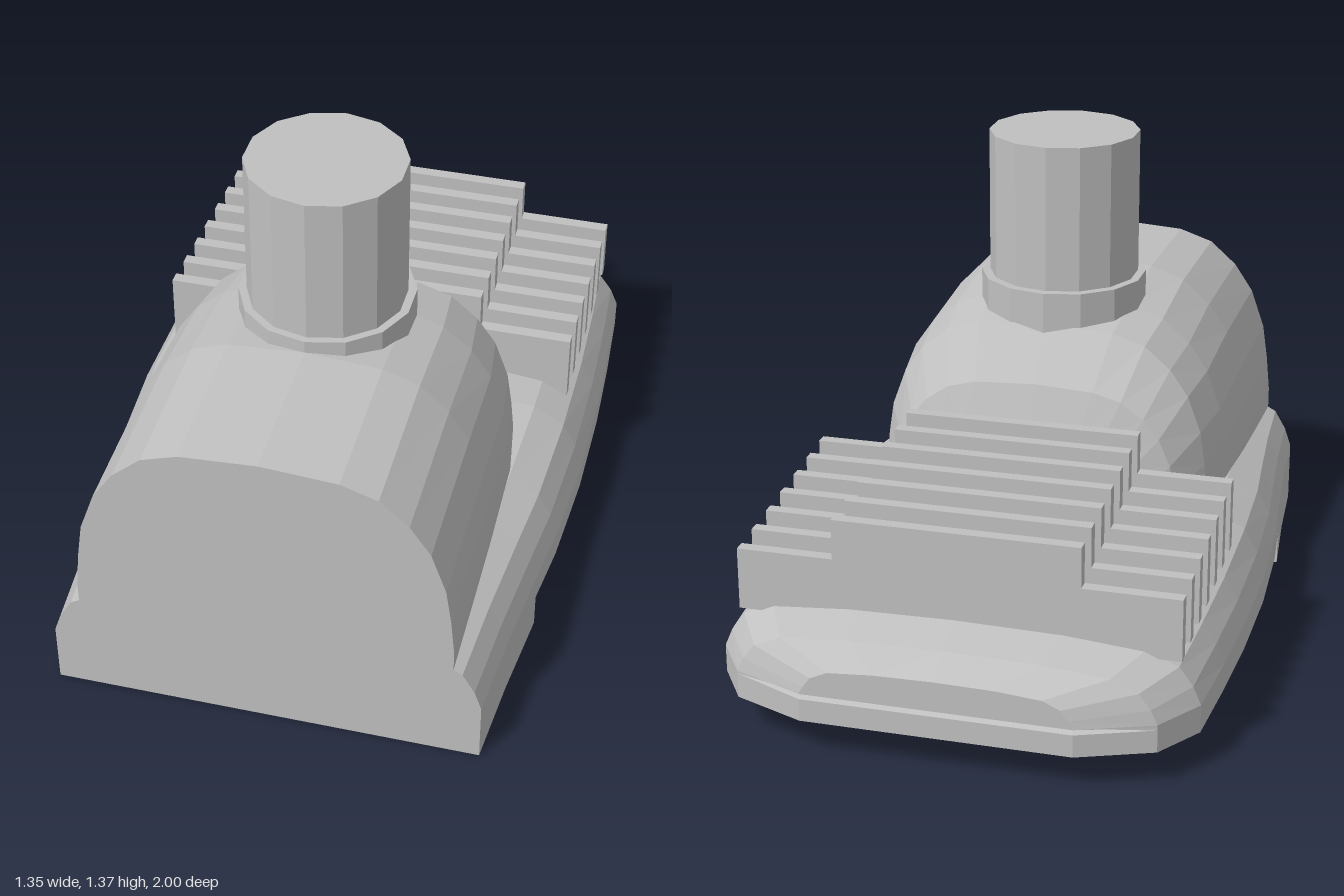
import * as THREE from 'three';

const grey = new THREE.MeshStandardMaterial({ color: 0xc0c0c0, flatShading: true });
grey.name = 'plain grey';

// Skin mirror-symmetric rings (ordered +x bottom, over the top, to -x bottom), front to back
function loft(rings) {
  const n = rings[0].length;
  const positions = rings.flat(2);
  const index = [];
  for (let i = 0; i < rings.length - 1; i++) {
    for (let j = 0; j < n; j++) {
      const k = (j + 1) % n;
      const a = i * n + j, b = i * n + k, c = a + n, d = b + n;
      index.push(a, c, b, b, c, d);
    }
  }
  // End caps: horizontal strips between mirrored ring points
  const last = (rings.length - 1) * n;
  for (let j = 0; j < (n - 1) / 2; j++) {
    const a = j, b = j + 1, c = n - 1 - j, d = n - 2 - j;
    index.push(a, b, d, a, d, c);
    index.push(last + a, last + d, last + b, last + a, last + c, last + d);
  }
  const g = new THREE.BufferGeometry();
  g.setAttribute('position', new THREE.Float32BufferAttribute(positions, 3));
  g.setIndex(index);
  const flat = g.toNonIndexed();
  flat.computeVertexNormals();
  return flat;
}

// Mirror a half ring whose last point lies on x = 0
const mirrored = half => [...half, ...half.slice(0, -1).reverse().map(([x, y, z]) => [-x, y, z])];

function add(group, name, geometry, x = 0, y = 0, z = 0) {
  const mesh = new THREE.Mesh(geometry, grey);
  mesh.name = name;
  mesh.position.set(x, y, z);
  group.add(mesh);
  return mesh;
}

// Base: [z, half width, bottom, top]
function baseGeometry() {
  const sections = [
    [1, 0.587, 0, 0.36], [0.75, 0.607, 0, 0.37], [0.485, 0.636, 0, 0.38],
    [0.485, 0.636, 0.1, 0.38], [0.3, 0.658, 0.1, 0.39], [0, 0.675, 0.1, 0.405],
    [-0.3, 0.675, 0.1, 0.388], [-0.55, 0.665, 0.1, 0.367], [-0.79, 0.65, 0.1, 0.342],
    [-0.92, 0.565, 0.1, 0.31], [-1, 0.365, 0.1, 0.262],
  ];
  const shoulder = [[0.967, 0.36], [0.91, 0.65], [0.78, 0.87], [0.45, 0.97], [0, 1]];
  return loft(sections.map(([z, w, bottom, top]) => {
    const slot = z === -1 ? 0.022 : 0; // groove across the back edge
    return mirrored([
      [w, bottom, z], [w, 0.163, z], [w, 0.17, z + slot], [w, 0.178, z],
      ...shoulder.map(([fx, fy]) => [w * fx, 0.165 + (top - 0.165) * fy, z]),
    ]);
  }));
}

// Rounded hood: [z, half width, top]
function hoodGeometry() {
  const sections = [
    [1, 0.51, 0.895], [0.56, 0.512, 0.91], [0.27, 0.51, 0.88], [0.1, 0.485, 0.85],
    [-0.025, 0.42, 0.71], [-0.07, 0.34, 0.585], [-0.105, 0.24, 0.46], [-0.112, 0.2, 0.4],
  ];
  const arch = [
    [1, 0.05], [0.98, 0.24], [0.95, 0.43], [0.87, 0.64], [0.76, 0.79],
    [0.605, 0.915], [0.41, 0.975], [0, 1],
  ];
  return loft(sections.map(([z, w, top]) => mirrored([
    [w, 0.3, z], ...arch.map(([fx, fy]) => [w * fx, 0.34 + (top - 0.34) * fy, z]),
  ])));
}

// Stepped cooling fin outline, taller in the middle
function finGeometry(bottom, side, top) {
  const s = new THREE.Shape([
    [-0.6, bottom], [0.6, bottom], [0.6, side], [0.335, side],
    [0.335, top], [-0.335, top], [-0.335, side], [-0.6, side],
  ].map(p => new THREE.Vector2(...p)));
  return new THREE.ExtrudeGeometry(s, { depth: 0.035, bevelEnabled: false });
}

export function createModel() {
  const model = new THREE.Group();
  model.name = 'finnedHousing';
  add(model, 'base', baseGeometry());
  add(model, 'hood', hoodGeometry());

  // Upright pipe and its collar
  add(model, 'collar', new THREE.CylinderGeometry(0.24, 0.24, 0.165, 14), 0, 0.8625, 0.32);
  add(model, 'pipe', new THREE.CylinderGeometry(0.2165, 0.2165, 0.565, 14), 0, 1.0825, 0.323);

  // Row of fins stepping down toward the back
  const fins = new THREE.Group();
  fins.name = 'fins';
  for (let i = 0; i < 7; i++) {
    const geometry = finGeometry(0.312 - i * 0.002, 0.527 - i * 0.009, 0.64 - i * 0.009);
    add(fins, 'fin', geometry, 0, 0, -0.161 - i * 0.1065);
  }
  model.add(fins);
  return model;
}
